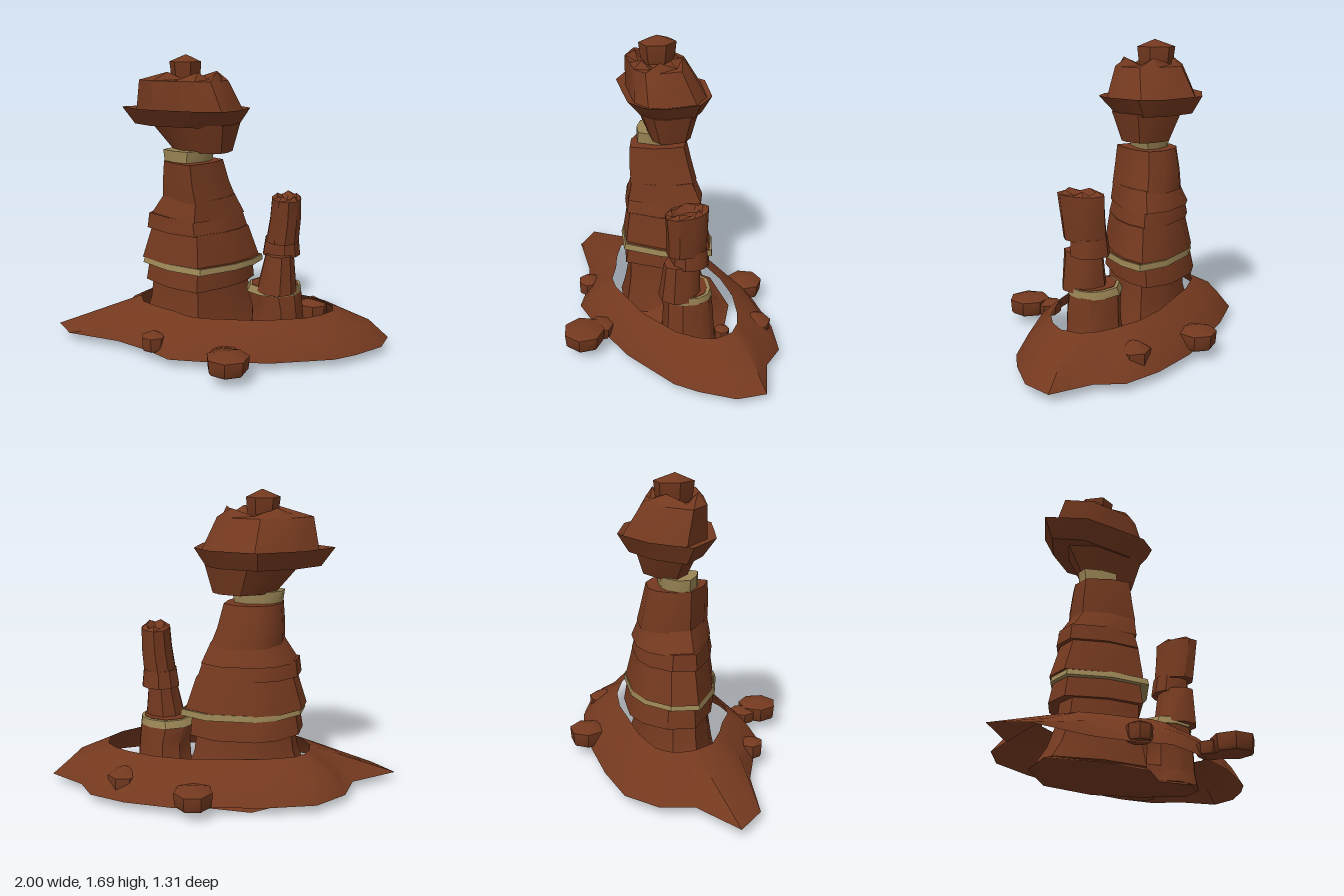
import * as THREE from 'three';
import { toCreasedNormals } from 'three/addons/utils/BufferGeometryUtils.js';

const rock = new THREE.MeshStandardMaterial({ color: 0x74391f, side: THREE.DoubleSide });
const trim = new THREE.MeshStandardMaterial({ color: 0x998454, side: THREE.DoubleSide });

// Unit outlines (x, z), running from +x towards +z
const MAIN = [[1, -0.5], [0.87, -0.02], [0.6, 0.45], [0.07, 1], [-0.5, 0.65], [-1, 0.05], [-0.88, -0.5], [-0.5, -0.88], [-0.1, -1], [0.6, -0.86]];
const SMALL = [[1, 0.1], [0.75, 0.7], [0.2, 1], [-0.45, 0.85], [-0.95, 0.35], [-1, -0.25], [-0.6, -0.8], [0.05, -1], [0.65, -0.72], [0.95, -0.35]];
const CAP = [[1, -0.13], [0.88, 0.58], [0.7, 0.89], [0.36, 1], [-0.1, 0.79], [-0.6, 0.55], [-1, -0.1], [-0.52, -0.68], [0.14, -1], [0.78, -0.59]];
const polygon = (n) => [...Array(n)].map((_, i) => [Math.cos(i * 2 * Math.PI / n), Math.sin(i * 2 * Math.PI / n)]);

// Fit an outline to a section [y, xMin, xMax, zMin, zMax, alternating height]
const ring = (outline, [y, x0, x1, z0, z1, wave = 0]) => outline.map(([u, v], i) => [
  (x0 + x1) / 2 + u * (x1 - x0) / 2,
  y + (i % 2 ? wave : -wave),
  (z0 + z1) / 2 + v * (z1 - z0) / 2,
]);

// Join rings of points from bottom to top; optionally close both ends
function loft(rings, capped = true) {
  const pos = [];
  const tri = (a, b, c) => pos.push(...a, ...b, ...c);
  const n = rings[0].length;
  const centre = (r) => [0, 1, 2].map((k) => r.reduce((s, p) => s + p[k], 0) / n);
  for (let i = 0; i < n; i++) {
    const j = (i + 1) % n;
    for (let k = 0; k < rings.length - 1; k++) {
      const [p, q] = [rings[k], rings[k + 1]];
      tri(p[i], q[i], p[j]);
      tri(p[j], q[i], q[j]);
    }
    if (capped) {
      const [b, t] = [rings[0], rings[rings.length - 1]];
      tri(centre(b), b[i], b[j]);
      tri(centre(t), t[j], t[i]);
    }
  }
  const geo = new THREE.BufferGeometry();
  geo.setAttribute('position', new THREE.Float32BufferAttribute(pos, 3));
  return toCreasedNormals(geo, 0.6);
}

export function createModel() {
  const model = new THREE.Group();
  const add = (parent, name, geo, mat = rock) => {
    const mesh = new THREE.Mesh(geo, mat);
    mesh.name = name;
    parent.add(mesh);
    return mesh;
  };
  const group = (name) => {
    const g = new THREE.Group();
    g.name = name;
    model.add(g);
    return g;
  };
  const stack = (parent, outline, tiers) => tiers.forEach(([name, mat, ...sections]) =>
    add(parent, name, loft(sections.map((s) => ring(outline, s))), mat));

  // Sloping ridge of ground: each entry is outer x, z and inner x, z
  const ridge = [
    [1, -0.1, 0.67, -0.1], [0.95, 0.06, 0.67, 0.01], [0.8, 0.2, 0.61, 0.09], [0.68, 0.28, 0.51, 0.16],
    [0.34, 0.375, 0.27, 0.23], [-0.02, 0.4, -0.05, 0.235], [-0.23, 0.39, -0.14, 0.21], [-0.36, 0.28, -0.24, 0.13],
    [-0.57, 0.155, -0.34, 0.07], [-0.89, 0.06, -0.45, -0.02], [-1, -0.1, -0.49, -0.14], [-0.73, -0.235, -0.48, -0.22],
    [-0.66, -0.41, -0.45, -0.28], [-0.49, -0.54, -0.38, -0.33], [-0.22, -0.57, -0.2, -0.36], [0.28, -0.56, 0.2, -0.35],
    [0.545, -0.49, 0.38, -0.31], [0.74, -0.39, 0.54, -0.23], [0.81, -0.25, 0.62, -0.17],
  ];
  const slope = (t, y) => ridge.map(([ox, oz, ix, iz]) =>
    [ox + (ix - ox) * t, ox < -0.7 ? 0.05 + 0.19 * t : y, oz + (iz - oz) * t]);
  add(model, 'groundRidge', loft([slope(0, 0.05), slope(0.35, 0.155), slope(1, 0.24)], false));

  // Low footing joining both towers
  const foot = [[0.54, -0.02], [0.46, 0.1], [0.32, 0.15], [0.16, 0.05], [-0.06, 0.14], [-0.32, 0.04], [-0.56, -0.14],
    [-0.44, -0.36], [-0.14, -0.52], [0.18, -0.44], [0.39, -0.25]];
  const footRing = (s, y) => foot.map(([x, z]) => [x * s, y, -0.14 + (z + 0.14) * s]);
  add(model, 'footing', loft([footRing(1, 0), footRing(0.8, 0.035), footRing(0.65, 0.1)]));

  // Main tower: overlapping tapered tiers, with a rock ledge inside the trim
  const main = group('mainTower');
  stack(main, MAIN, [
    ['mainBase', rock, [0.01, -0.53, 0.28, -0.41, 0.145], [0.1, -0.47, 0.23, -0.37, 0.125], [0.24, -0.42, 0.17, -0.335, 0.1], [0.4, -0.4, 0.15, -0.33, 0.1]],
    ['lowerTier', rock, [0.35, -0.45, 0.19, -0.4, 0.13], [0.47, -0.43, 0.18, -0.375, 0.11]],
    ['lowerTrim', trim, [0.46, -0.465, 0.245, -0.385, 0.155], [0.495, -0.455, 0.24, -0.38, 0.145]],
    ['lowerLedge', rock, [0.48, -0.445, 0.23, -0.37, 0.135], [0.498, -0.445, 0.23, -0.37, 0.135]],
    ['wideTier', rock, [0.49, -0.47, 0.22, -0.38, 0.13], [0.68, -0.41, 0.155, -0.34, 0.1]],
    ['bandTier', rock, [0.675, -0.437, 0.15, -0.35, 0.11], [0.765, -0.425, 0.12, -0.33, 0.09]],
    ['shoulderTier', rock, [0.755, -0.415, 0.13, -0.355, 0.1], [0.87, -0.34, 0.075, -0.31, 0.08]],
    ['upperTier', rock, [0.85, -0.34, 0.08, -0.325, 0.085], [0.95, -0.34, 0.04, -0.31, 0.08], [1.08, -0.33, 0.005, -0.285, 0.07]],
    ['neckTrim', trim, [1.06, -0.325, -0.06, -0.22, 0], [1.145, -0.335, -0.04, -0.225, 0]],
  ]);

  // Overhanging cap with a jagged crown
  const cap = group('cap');
  stack(cap, CAP, [
    ['capThroat', rock, [1.135, -0.28, 0.065, -0.28, -0.02], [1.3, -0.42, 0.11, -0.34, 0.04]],
    ['capRim', rock, [1.285, -0.52, 0.1, -0.385, 0.03], [1.385, -0.595, 0.165, -0.445, 0.12], [1.37, -0.51, 0.12, -0.41, 0.07]],
    ['capDome', rock, [1.36, -0.51, 0.13, -0.42, 0.08], [1.545, -0.48, 0.04, -0.31, 0.05],
      [1.575, -0.37, 0.01, -0.26, 0.01, 0.02], [1.54, -0.32, -0.08, -0.22, -0.05]],
  ]);
  stack(cap, polygon(6), [['capKnob', rock, [1.54, -0.28, -0.13, -0.235, -0.055], [1.57, -0.29, -0.12, -0.25, -0.045],
    [1.65, -0.3, -0.115, -0.26, -0.035], [1.69, -0.205, -0.2, -0.143, -0.138]]]);

  // Small leaning tower
  stack(group('smallTower'), SMALL, [
    ['smallBase', rock, [0.01, 0.14, 0.54, -0.21, 0.15], [0.08, 0.19, 0.51, -0.18, 0.135], [0.25, 0.2, 0.495, -0.17, 0.13], [0.35, 0.17, 0.485, -0.16, 0.12]],
    ['smallTrim', trim, [0.345, 0.165, 0.485, -0.17, 0.13], [0.387, 0.185, 0.48, -0.155, 0.12]],
    ['smallLedge', rock, [0.37, 0.195, 0.465, -0.135, 0.115], [0.39, 0.195, 0.465, -0.135, 0.115]],
    ['smallShaft', rock, [0.36, 0.23, 0.46, -0.09, 0.165], [0.58, 0.28, 0.44, -0.08, 0.145]],
    ['smallBand', rock, [0.565, 0.26, 0.475, -0.12, 0.1], [0.665, 0.275, 0.465, -0.11, 0.1]],
    ['smallTop', rock, [0.65, 0.28, 0.465, -0.11, 0.14], [0.78, 0.3, 0.475, -0.11, 0.15], [0.9, 0.31, 0.475, -0.11, 0.165],
      [0.915, 0.34, 0.45, -0.07, 0.13, 0.01], [0.88, 0.37, 0.42, -0.03, 0.08]],
  ]);

  // Loose boulders: x, bottom y, z, radius, height
  const boulders = group('boulders');
  [[0.115, 0.06, 0.535, 0.118, 0.12], [0.17, 0.06, -0.56, 0.107, 0.12], [0.09, 0.06, 0.42, 0.08, 0.09],
    [0.555, 0.04, -0.35, 0.09, 0.165], [-0.335, 0.06, 0.27, 0.07, 0.11], [0.48, 0.05, -0.17, 0.045, 0.09],
  ].forEach(([x, y, z, r, h], i) => {
    const sec = (t, s) => ring(polygon(7), [t * h, -r * s, r * s, -r * s, r * s]);
    const stone = add(boulders, 'boulder', loft([sec(0, 0.85), sec(0.12, 0.95), sec(0.72, 1), sec(1, 0.03)]));
    stone.position.set(x, y, z);
    stone.rotation.y = i * 0.9 + 0.2;
  });

  return model;
}
